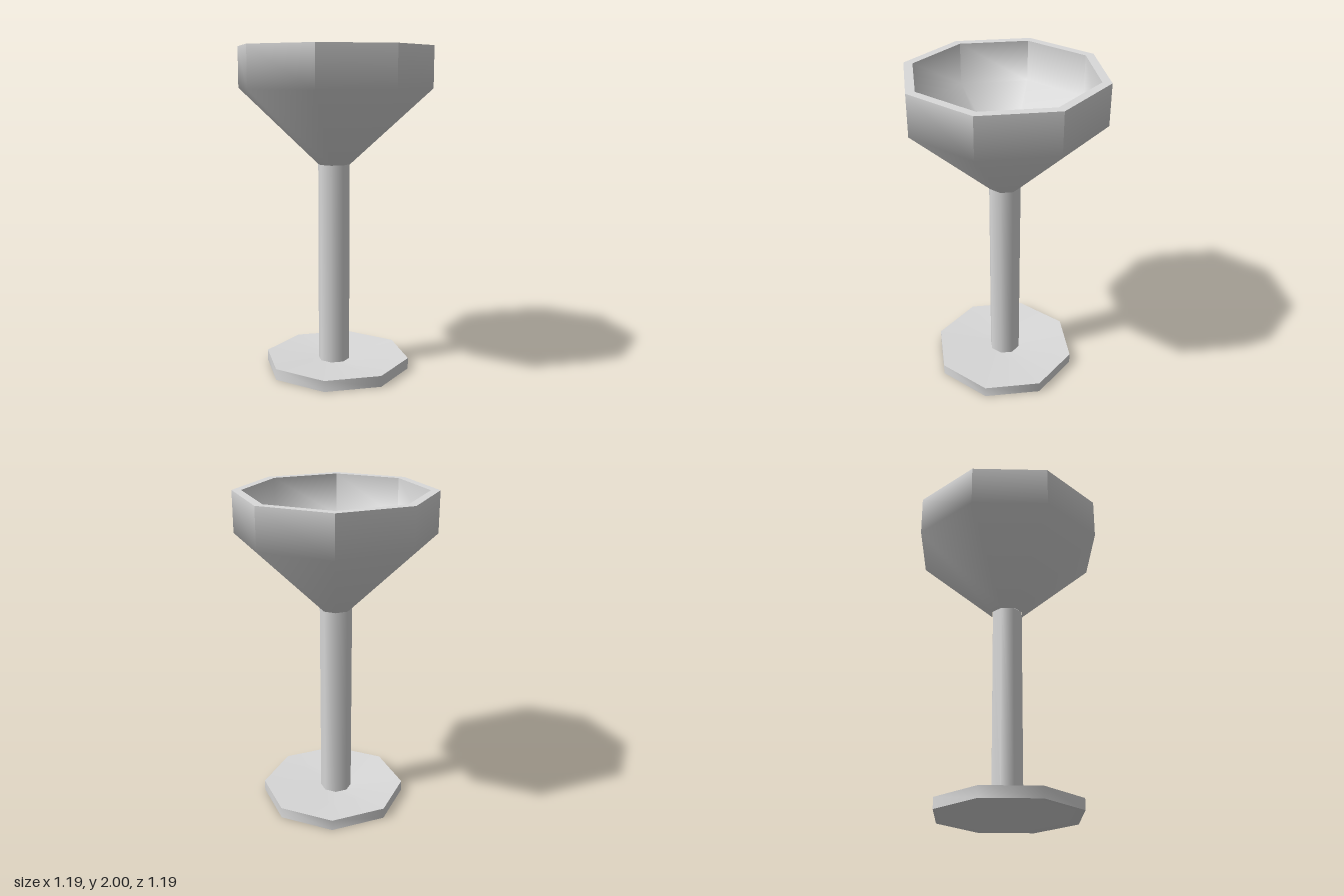
import * as THREE from 'three';
import { toCreasedNormals } from 'three/addons/utils/BufferGeometryUtils.js';

const SIDES = 8;

// Eight-sided turned shape from [radius, height] pairs, corners on the axes
function turned(points) {
  return new THREE.LatheGeometry(points.map(([r, y]) => new THREE.Vector2(r, y)), SIDES);
}

// Bowl shell: smooth below, with its wall corners sharpening towards the lip.
// side is 1 for the outer shell and -1 for the inner one.
function shell(points, side) {
  const geometry = turned(points).toNonIndexed();
  const { position, normal } = geometry.attributes;
  for (let i = 0; i < position.count; i += 3) {
    let x = 0, z = 0;
    for (let k = i; k < i + 3; k++) {
      x += position.getX(k);
      z += position.getZ(k);
    }
    const step = (Math.PI * 2) / SIDES;
    const angle = (Math.floor(Math.atan2(x, z) / step) + 0.5) * step;
    for (let k = i; k < i + 3; k++) {
      if (position.getY(k) > 1.99) normal.setXYZ(k, side * Math.sin(angle), 0, side * Math.cos(angle));
    }
  }
  return geometry;
}

export function createModel() {
  const model = new THREE.Group();
  model.name = 'goblet';

  const silver = new THREE.MeshStandardMaterial({ color: 0xd9d9d9 });
  silver.name = 'silver grey';

  function add(name, geometry, parent = model) {
    const mesh = new THREE.Mesh(geometry, silver);
    mesh.name = name;
    parent.add(mesh);
  }

  // Foot: dished above, hollowed below to a small pit; rim and pit sit off centre
  const foot = turned([[0, 0.065], [0.05, 0.035], [0.454, 0], [0.454, 0.068], [0.098, 0.045]]);
  const pos = foot.attributes.position;
  for (let i = 0; i < pos.count; i++) {
    const x = pos.getX(i), z = pos.getZ(i), r = Math.hypot(x, z);
    if (r > 0.3) {
      pos.setX(i, x + 0.0135);
      pos.setZ(i, z - 0.0135);
    } else if (r < 0.09) {
      pos.setX(i, x - 0.04);
    }
  }
  add('foot', toCreasedNormals(foot, THREE.MathUtils.degToRad(50)));

  // Stem: smooth-shaded column
  add('stem', turned([[0.098, 0.044], [0.098, 1.29]]));

  // Bowl: shells inside and out, joined by a flat rim, with a flat floor
  const bowl = new THREE.Group();
  bowl.name = 'bowl';
  model.add(bowl);
  add('bowlOutside', shell([[0.1, 1.29], [0.597, 1.75], [0.597, 2]], 1), bowl);
  add('bowlRim', turned([[0.597, 2], [0.542, 2]]), bowl);
  add('bowlInside', shell([[0.542, 2], [0.542, 1.745], [0.1, 1.335]], -1), bowl);
  add('bowlFloor', turned([[0.1, 1.335], [0, 1.335]]), bowl);

  return model;
}
